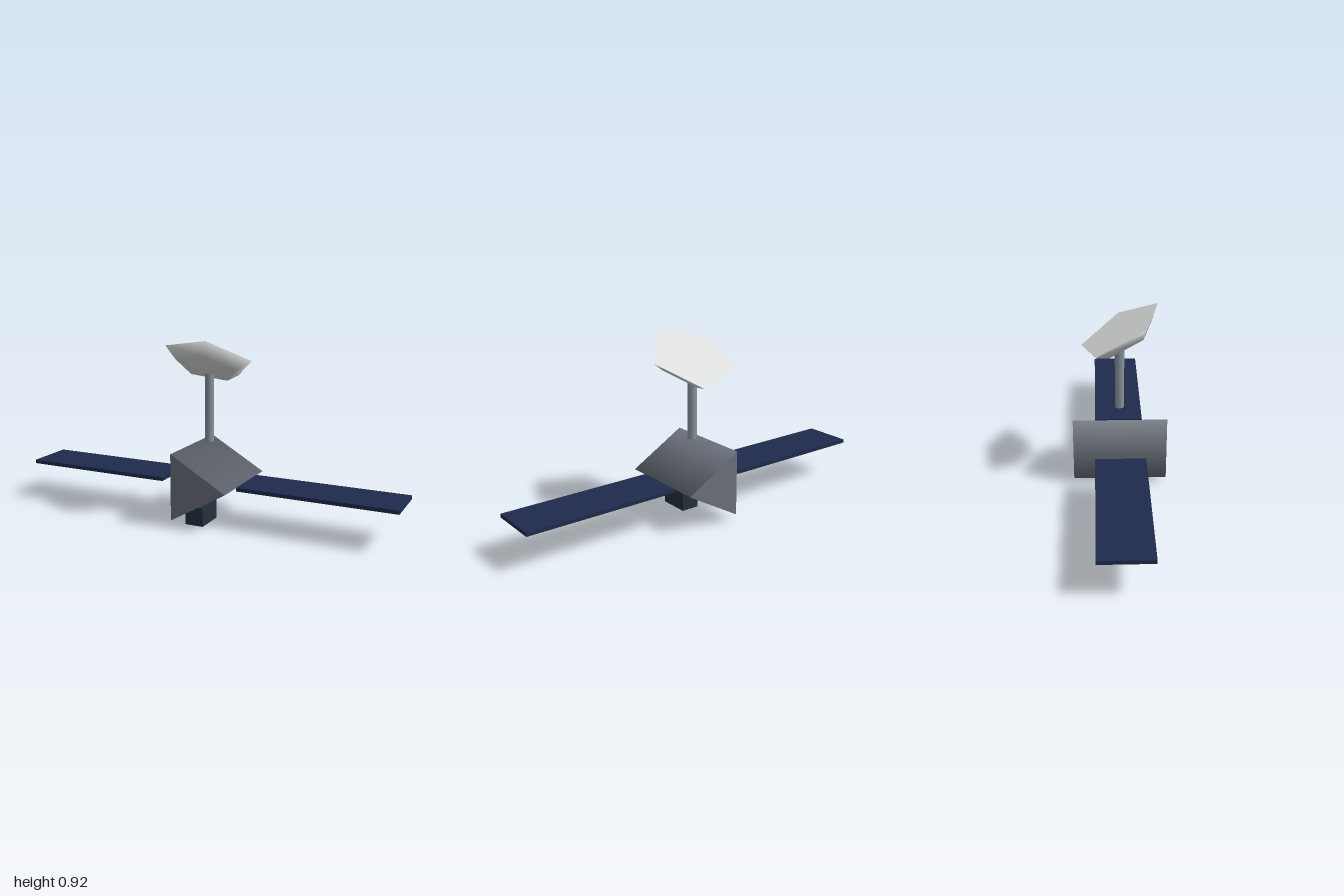
import * as THREE from 'three';

const makeMaterial = (name, color) => {
  const material = new THREE.MeshStandardMaterial({ color });
  material.name = name;
  return material;
};

export function createModel() {
  const hullGrey = makeMaterial('hullGrey', 0x6b717c);
  const mastGrey = makeMaterial('mastGrey', 0x8a959d);
  const panelBlue = makeMaterial('panelBlue', 0x1f2b4d);
  const sensorDark = makeMaterial('sensorDark', 0x22303d);
  const dishWhite = makeMaterial('dishWhite', 0xd9dcdb);

  const model = new THREE.Group();
  model.name = 'satellite';
  const add = (name, geometry, material, x, y, z, parent = model) => {
    const mesh = new THREE.Mesh(geometry, material);
    mesh.name = name;
    mesh.position.set(x, y, z);
    parent.add(mesh);
    return mesh;
  };

  // Three-sided hull lying along z, one edge pointing to +x
  const hull = new THREE.CylinderGeometry(0.195, 0.195, 0.472, 3, 1, false, Math.PI / 2);
  hull.rotateX(Math.PI / 2);
  add('hull', hull, hullGrey, 0, 0.2, 0);

  // Solar panels
  for (const [name, side] of [['leftPanel', 1], ['rightPanel', -1]]) {
    add(name, new THREE.BoxGeometry(0.795, 0.019, 0.253), panelBlue, side * 0.6025, 0.2, 0);
  }

  // Sensor box under the hull
  add('sensorBox', new THREE.BoxGeometry(0.095, 0.096, 0.158), sensorDark, 0, 0.048, 0.096);

  // Antenna mast
  add('mast', new THREE.CylinderGeometry(0.0235, 0.0235, 0.37, 8), mastGrey, 0, 0.58, 0);

  // Five-sided dish with a flat face, tilted to the back
  const dish = new THREE.Group();
  dish.name = 'dish';
  dish.position.set(0, 0.814, 0);
  dish.rotation.x = -Math.PI / 6;
  model.add(dish);

  const bowl = new THREE.SphereGeometry(0.228, 5, 2, Math.PI, Math.PI * 2, Math.PI / 2, Math.PI / 2);
  bowl.scale(1, 0.34, 1);
  add('dishBowl', bowl, dishWhite, 0, 0, 0, dish);

  const face = new THREE.CircleGeometry(0.228, 5);
  face.rotateX(-Math.PI / 2);
  add('dishFace', face, dishWhite, 0, 0, 0, dish);

  return model;
}
